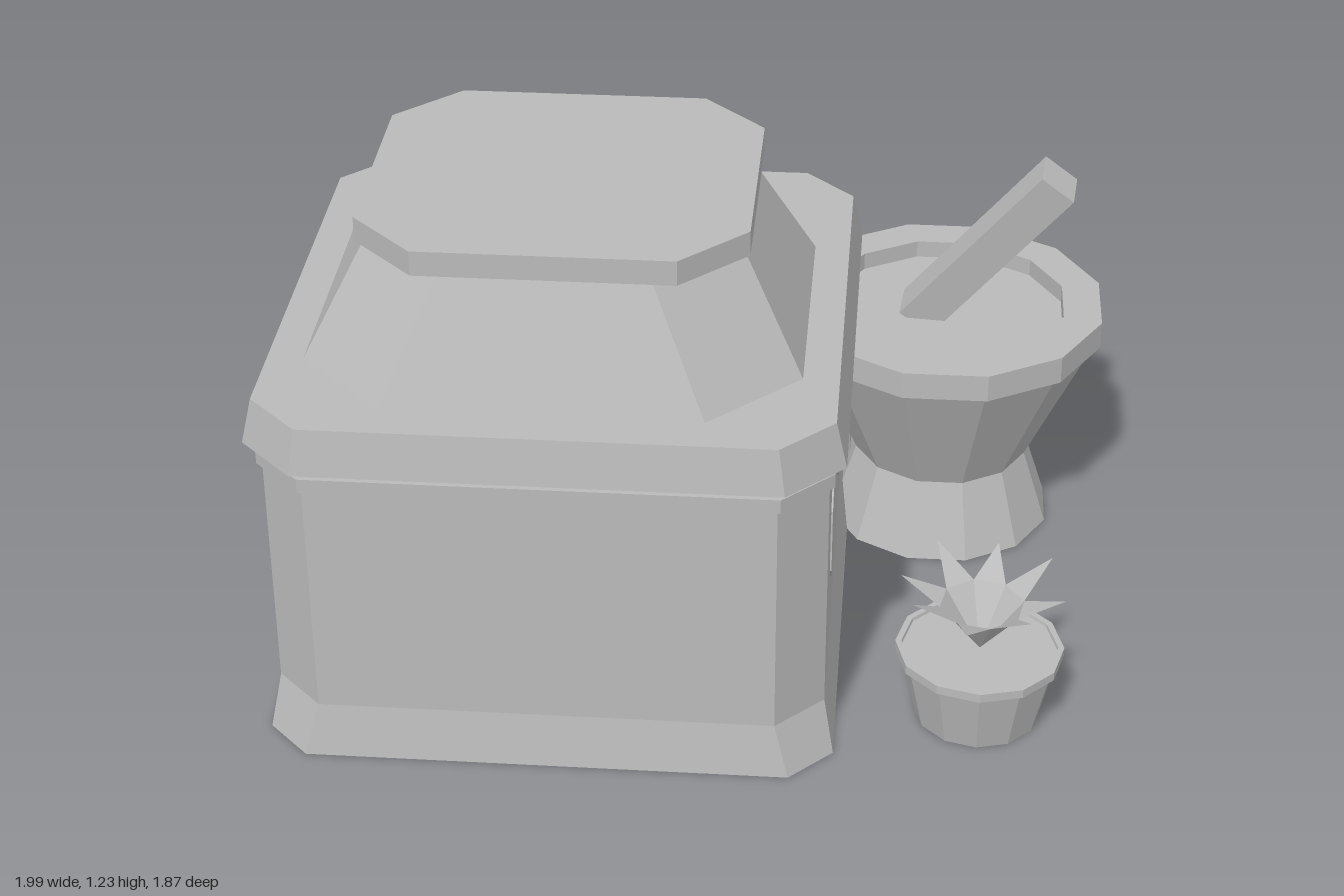
import * as THREE from 'three';

const stone = new THREE.MeshStandardMaterial({ color: 0xbababa, flatShading: true, side: THREE.DoubleSide });
stone.name = 'grey stone';

const CX = -0.29, CZ = 0.257; // centre of the building

function add(parent, name, geometry, x = 0, y = 0, z = 0) {
  const mesh = new THREE.Mesh(geometry, stone);
  mesh.name = name;
  mesh.position.set(x, y, z);
  parent.add(mesh);
  return mesh;
}

// Rectangle with cut corners, as [x, z] pairs
function octagon(hx, hz, c) {
  return [[hx, -hz + c], [hx, hz - c], [hx - c, hz], [-hx + c, hz],
    [-hx, hz - c], [-hx, -hz + c], [-hx + c, -hz], [hx - c, -hz]];
}

const octagonShape = (hx, hz, c) => new THREE.Shape(octagon(hx, hz, c).map(([x, y]) => new THREE.Vector2(x, y)));

// Stacks cut-corner rings; each level is [y, halfX, halfZ, corner cut]
function loft(levels, openBottom = false) {
  const pos = [];
  const rings = levels.map(([y, hx, hz, c]) => octagon(hx, hz, c).map(([x, z]) => [x, y, z]));
  const n = 8, top = rings[rings.length - 1];
  for (let r = 0; r < rings.length - 1; r++) {
    for (let i = 0; i < n; i++) {
      const j = (i + 1) % n, lo = rings[r], hi = rings[r + 1];
      pos.push(...lo[i], ...hi[i], ...lo[j], ...lo[j], ...hi[i], ...hi[j]);
    }
  }
  for (let i = 1; i < n - 1; i++) {
    pos.push(...top[0], ...top[i + 1], ...top[i]);
    if (!openBottom) pos.push(...rings[0][0], ...rings[0][i], ...rings[0][i + 1]);
  }
  const g = new THREE.BufferGeometry();
  g.setAttribute('position', new THREE.Float32BufferAttribute(pos, 3));
  g.computeVertexNormals();
  return g;
}

function lathe(profile, sides, phase = 0) {
  return new THREE.LatheGeometry(profile.map(([r, y]) => new THREE.Vector2(r, y)), sides, phase);
}

// Extruded cut-corner panel, with its back on z = 0
function panel(w, h, cut, depth) {
  return new THREE.ExtrudeGeometry(octagonShape(w / 2, h / 2, cut), { depth, bevelEnabled: false });
}

// Leaves: a steep cone that opens into spreading pointed tips
function leafStar(tips) {
  const pos = [];
  const at = (k, r, y) => {
    const a = (k / tips) * Math.PI * 2 + 0.2;
    return [r * Math.cos(a), y, r * Math.sin(a)];
  };
  for (let i = 0; i < tips; i++) {
    const a = at(i - 0.5, 0.1, 0.305), b = at(i + 0.5, 0.1, 0.305);
    pos.push(0, 0.18, 0, ...a, ...b);
    pos.push(...a, ...at(i, 0.195, 0.35 + 0.02 * (i % 2)), ...b);
  }
  const g = new THREE.BufferGeometry();
  g.setAttribute('position', new THREE.Float32BufferAttribute(pos, 3));
  g.computeVertexNormals();
  return g;
}

function makeBuilding() {
  const b = new THREE.Group();
  b.name = 'building';
  b.position.set(CX, 0, CZ);
  add(b, 'walls', loft([
    [0, 0.662, 0.662, 0.1], [0.13, 0.638, 0.64, 0.11], [0.78, 0.638, 0.64, 0.11]], true));
  // Floor raised inside the hollow base
  const floor = add(b, 'floor', new THREE.ShapeGeometry(octagonShape(0.638, 0.64, 0.11)), 0, 0.13, 0);
  floor.rotation.x = Math.PI / 2;
  add(b, 'wallTrim', loft([[0.72, 0.65, 0.652, 0.115], [0.755, 0.65, 0.652, 0.115]]));
  add(b, 'cornice', loft([[0.78, 0.675, 0.678, 0.13], [0.89, 0.65, 0.66, 0.12]]));
  add(b, 'roofSlope', loft([[0.89, 0.567, 0.518, 0.205], [1.17, 0.42, 0.39, 0.185]]), 0, 0, 0.045);
  add(b, 'roofCap', loft([[1.17, 0.443, 0.41, 0.15], [1.23, 0.443, 0.41, 0.15]]), 0, 0, 0.045);

  // Back corner posts, cut-corner windows on sides and back
  for (const s of [-1, 1]) {
    add(b, 'cornerPost', loft([[0, 0.085, 0.095, 0.005], [0.5, 0.072, 0.085, 0.005]], true), s * 0.58, 0, -0.612);
    for (const z of [-0.22, 0.22]) {
      const w = add(b, 'sideWindow', panel(0.255, 0.255, 0.045, 0.004), s * 0.638, 0.447, z);
      w.rotation.y = s * Math.PI / 2;
    }
    const w = add(b, 'backWindow', panel(0.24, 0.255, 0.045, 0.004), s * 0.355, 0.447, -0.64);
    w.rotation.y = Math.PI;
  }
  return b;
}

function makeEntrance() {
  const e = new THREE.Group();
  e.name = 'entrance';
  e.position.set(CX, 0, -0.38);
  // Three steps growing toward the ground
  [[0.495, 0.04, 0.19], [0.475, 0.08, 0.13], [0.47, 0.12, 0.06]].forEach(([w, h, d]) =>
    add(e, 'step', new THREE.BoxGeometry(w, 0.04, d), 0, h - 0.02, -d / 2));
  // Door leaf and hood with cut upper corners
  const arch = (w, y0, y1, cut) => [[-w, y0], [w, y0], [w, y1 - cut], [w - cut, y1], [-w + cut, y1], [-w, y1 - cut]]
    .map(([x, y]) => new THREE.Vector2(x, y));
  add(e, 'door', new THREE.ExtrudeGeometry(new THREE.Shape(arch(0.16, 0.12, 0.53, 0.06)),
    { depth: 0.008, bevelEnabled: false }), 0, 0, -0.008);
  const outer = arch(0.185, 0.43, 0.56, 0.07), inner = arch(0.155, 0.43, 0.53, 0.06);
  const hood = new THREE.Shape([...outer.slice(1), outer[0], inner[0], ...inner.slice(1).reverse()]);
  add(e, 'doorHood', new THREE.ExtrudeGeometry(hood, { depth: 0.05, bevelEnabled: false }), 0, 0, -0.05);
  add(e, 'doorHandle', new THREE.BoxGeometry(0.045, 0.04, 0.03), 0.07, 0.3, -0.02);
  // Plain plaque above the cornice
  add(e, 'roofPlaque', panel(0.1, 0.1, 0.015, 0.012), 0, 0.95, 0.118);
  return e;
}

function makeMortar() {
  const m = new THREE.Group();
  m.name = 'mortarAndPestle';
  m.position.set(0.605, 0, -0.277);
  // Hollow foot, flaring bowl, thick rim and shallow basin
  add(m, 'mortarBowl', lathe([[0, 0.19], [0.21, 0.19], [0.28, 0], [0.29, 0], [0.225, 0.195], [0.385, 0.545],
    [0.402, 0.545], [0.402, 0.615], [0.304, 0.615], [0.304, 0.57], [0, 0.57]], 12, Math.PI / 12));
  // Square pestle leaning outward
  const foot = new THREE.Vector3(-0.074, 0.56, -0.015);
  const tip = new THREE.Vector3(0.26, 1.003, 0.083);
  const axis = tip.clone().sub(foot);
  const p = add(m, 'pestle', new THREE.BoxGeometry(0.1, axis.length(), 0.1));
  p.position.copy(foot).add(tip).multiplyScalar(0.5);
  axis.normalize();
  p.rotation.set(Math.asin(axis.z), 0, Math.atan2(-axis.x, axis.y), 'ZXY');
  return m;
}

function makePlant(x, z, scale, turn) {
  const g = new THREE.Group();
  g.name = 'pottedPlant';
  g.position.set(x, 0, z);
  g.scale.setScalar(scale);
  g.rotation.y = turn;
  // Pot is open underneath
  add(g, 'pot', lathe([[0, 0.16], [0.175, 0.16], [0.14, 0], [0.148, 0], [0.186, 0.168], [0.198, 0.168],
    [0.198, 0.19], [0.184, 0.19], [0.182, 0.182], [0, 0.182]], 12));
  add(g, 'leaves', leafStar(8));
  return g;
}

export function createModel() {
  const model = new THREE.Group();
  model.name = 'shopWithMortar';
  model.add(makeBuilding(), makeEntrance(), makeMortar(),
    makePlant(0.705, 0.625, 1, 0), makePlant(-0.785, -0.66, 1.08, 0.3), makePlant(-0.03, -0.78, 0.785, 0.6));
  return model;
}
